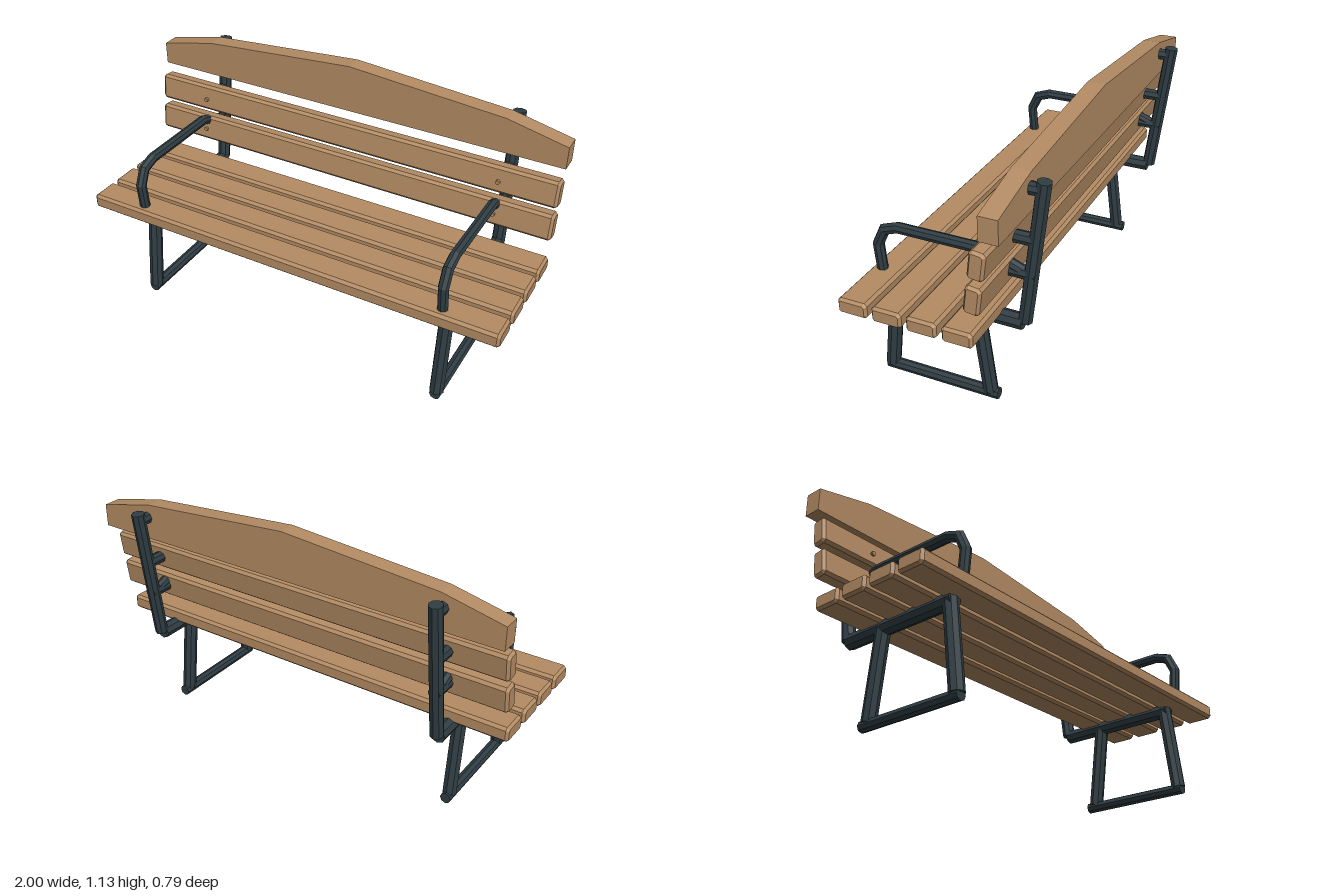
import * as THREE from 'three';

const wood = new THREE.MeshStandardMaterial({ color: 0xb48c64 });
wood.name = 'wood';
const steel = new THREE.MeshStandardMaterial({ color: 0x2f3d43 });
steel.name = 'darkSteel';

// Faceted mesh with hard edges
function part(name, geometry, material) {
  const flat = geometry.index ? geometry.toNonIndexed() : geometry;
  flat.computeVertexNormals();
  const mesh = new THREE.Mesh(flat, material);
  mesh.name = name;
  return mesh;
}

// Eight-sided tube through [z, y] points, mitred at each bend
function tube(name, radius, points, material = steel) {
  const n = points.length - 1;
  const geo = new THREE.CylinderGeometry(radius, radius, n, 8, n);
  const pos = geo.attributes.position;
  const path = points.map(([z, y]) => new THREE.Vector2(z, y));
  const dirs = path.slice(1).map((p, i) => p.clone().sub(path[i]).normalize());
  for (let v = 0; v < pos.count; v++) {
    const i = Math.round(pos.getY(v) + n / 2);
    const before = dirs[Math.max(i - 1, 0)];
    const after = dirs[Math.min(i, n - 1)];
    const t = before.clone().add(after).normalize();
    const k = pos.getZ(v) / t.dot(after);
    pos.setXYZ(v, pos.getX(v), path[i].y - t.x * k, path[i].x + t.y * k);
  }
  return part(name, geo, material);
}

// Shape from [x, y] corners
function outlineShape(corners) {
  return new THREE.Shape(corners.map(([x, y]) => new THREE.Vector2(x, y)));
}

// Chamfered plank running along x, centred on the origin
function slat(name, width, height) {
  const c = 0.012;
  const w = width / 2, h = height / 2;
  const section = outlineShape([
    [w, c - h], [w, h - c], [w - c, h], [c - w, h],
    [-w, h - c], [-w, c - h], [c - w, -h], [w - c, -h],
  ]);
  const geo = new THREE.ExtrudeGeometry(section, {
    depth: 2 - 2 * c, bevelThickness: c, bevelSize: 0.01, bevelOffset: -0.01, bevelSegments: 1,
  });
  geo.translate(0, 0, c - 1).rotateY(-Math.PI / 2);
  return part(name, geo, wood);
}

// One side frame: base, legs, seat rail, back post, armrest, brackets and bolts
function sideFrame(name, x) {
  const g = new THREE.Group();
  g.name = name;
  g.add(
    tube('baseRail', 0.025, [[0.355, 0.025], [-0.167, 0.025]]),
    tube('frontLeg', 0.032, [[0.335, 0.033], [0.287, 0.43]]),
    tube('backLeg', 0.032, [[-0.129, 0.033], [-0.08, 0.42]]),
    tube('seatRail', 0.034, [[0.31, 0.42], [-0.28, 0.42]]),
    tube('backPost', 0.03, [[-0.287, 0.427], [-0.366, 1.05]]),
    tube('armrest', 0.0235, [
      [0.345, 0.44], [0.36, 0.615], [0.326, 0.686], [0.263, 0.708],
      [-0.135, 0.708], [-0.3, 0.645],
    ]),
    tube('topBracket', 0.027, [[-0.3, 1.014], [-0.355, 1.014]]),
    tube('upperBracket', 0.027, [[-0.22, 0.8], [-0.335, 0.8]]),
    tube('lowerBracket', 0.027, [[-0.2, 0.648], [-0.335, 0.648]]),
    tube('upperBolt', 0.01, [[-0.19, 0.8], [-0.168, 0.8]], wood),
    tube('lowerBolt', 0.01, [[-0.17, 0.648], [-0.15, 0.648]], wood),
  );
  g.position.x = x;
  return g;
}

export function createModel() {
  const bench = new THREE.Group();
  bench.name = 'bench';
  bench.add(sideFrame('leftFrame', 0.74), sideFrame('rightFrame', -0.74));

  // Seat planks
  [0.332, 0.18, 0.028, -0.125].forEach((z, i) => {
    const s = slat('seatSlat' + (i + 1), 0.131, 0.068);
    s.position.set(0, 0.466, z);
    bench.add(s);
  });

  // Leaning backrest planks
  [['upperBackSlat', 0.802, -0.215], ['lowerBackSlat', 0.65, -0.194]].forEach(([name, y, z]) => {
    const s = slat(name, 0.068, 0.122);
    s.position.set(0, y, z);
    s.rotation.x = -0.127;
    bench.add(s);
  });

  // Peaked top board
  const board = new THREE.ExtrudeGeometry(outlineShape([
    [-1, 0.913], [1, 0.913], [1, 1.015], [0.73, 1.075],
    [0, 1.132], [-0.73, 1.075], [-1, 1.015],
  ]), { depth: 0.08, bevelEnabled: false });
  board.translate(0, 0, -0.31);
  bench.add(part('topBoard', board, wood));

  return bench;
}
